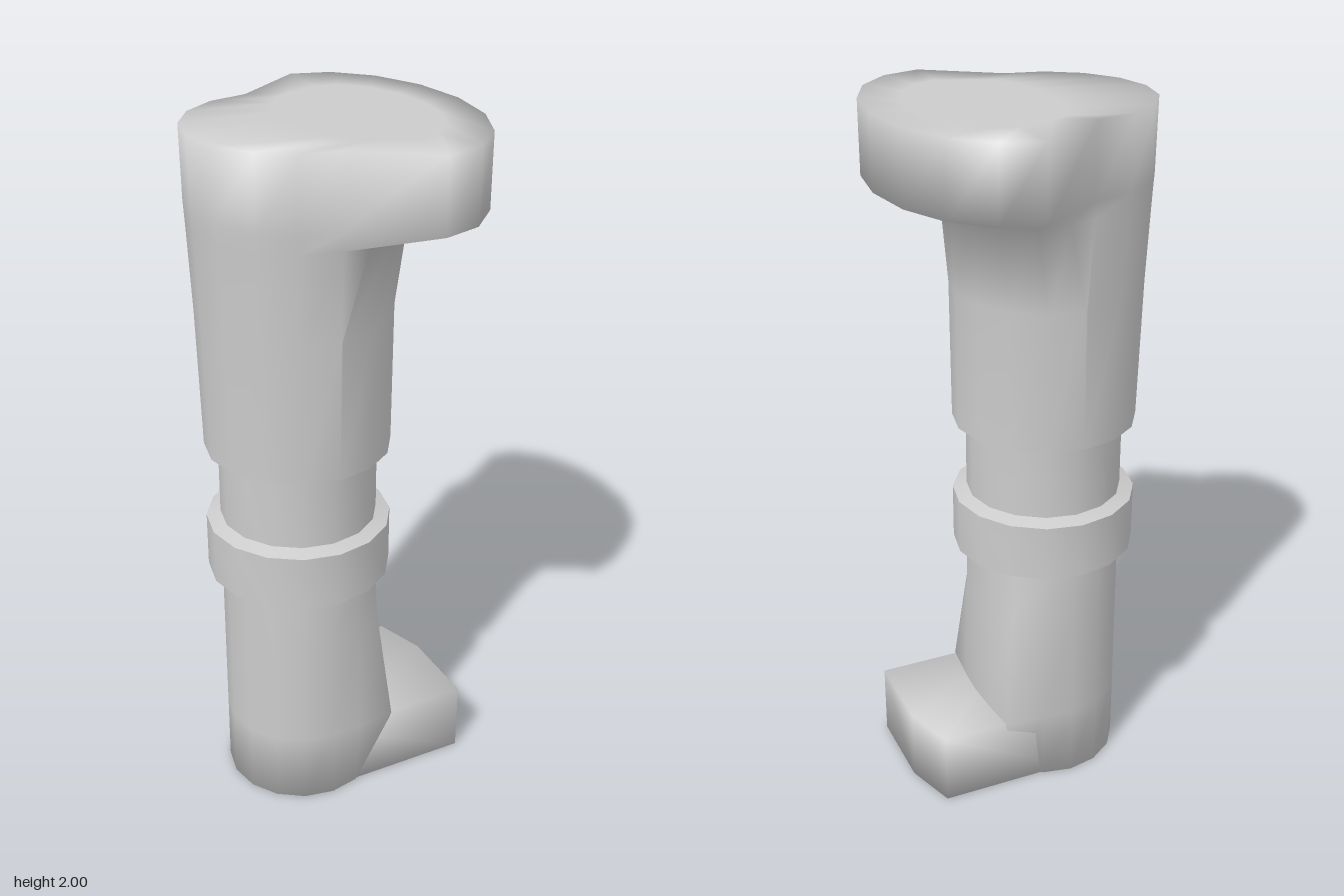
import * as THREE from 'three';
import { mergeVertices, toCreasedNormals } from 'three/addons/utils/BufferGeometryUtils.js';

const AXIS = -0.095; // x of the leg's centre line
const material = new THREE.MeshStandardMaterial({ color: 0xcccccc });

// Weld all corners so the shading rolls over the edges
function soften(geometry) {
  geometry.deleteAttribute('normal');
  geometry.deleteAttribute('uv');
  const welded = mergeVertices(geometry, 1e-4);
  welded.computeVertexNormals();
  return welded;
}

// A ring is a back half and a front half ellipse of nine points each:
// { y, back: [centreX, rx, rz], front: [centreX, rx, rz], square }
function ringPoints({ y, back, front, square = 0 }) {
  const points = [];
  for (const [half, start] of [[front, -Math.PI / 2], [back, Math.PI / 2]]) {
    for (let i = 0; i <= 8; i++) {
      const a = start + (i / 8) * Math.PI;
      let c = Math.cos(a), s = Math.sin(a);
      if (half === front && square) {
        const k = 1 / Math.max(Math.abs(c), Math.abs(s));
        c *= 1 + (k - 1) * square;
        s *= 1 + (k - 1) * square;
      }
      points.push([half[0] + half[1] * c, y, half[2] * s]);
    }
  }
  return points;
}

// Skin a stack of rings from bottom to top, closing chosen ends
function loft(rings, capBottom, capTop) {
  const positions = [], index = [], n = 18;
  rings.forEach(r => ringPoints(r).forEach(p => positions.push(...p)));
  for (let r = 0; r < rings.length - 1; r++) {
    for (let i = 0; i < n; i++) {
      const a = r * n + i, b = r * n + (i + 1) % n;
      index.push(a, a + n, b, b, a + n, b + n);
    }
  }
  const cap = (r, up) => {
    const centre = positions.length / 3, ring = rings[r];
    positions.push((ring.back[0] + ring.front[0]) / 2, ring.y, 0);
    for (let i = 0; i < n; i++) {
      const a = r * n + i, b = r * n + (i + 1) % n;
      if (up) index.push(centre, b, a);
      else index.push(centre, a, b);
    }
  };
  if (capBottom) cap(0, false);
  if (capTop) cap(rings.length - 1, true);
  const geometry = new THREE.BufferGeometry();
  geometry.setAttribute('position', new THREE.Float32BufferAttribute(positions, 3));
  geometry.setIndex(index);
  return soften(geometry);
}

const round = (y, r, square = 0) => ({ y, back: [AXIS, r, r], front: [AXIS, r, r], square });

// Sixteen-sided turned piece with crisp bevels
function turned(profile) {
  const points = profile.map(([r, y]) => new THREE.Vector2(r, y));
  const geometry = new THREE.LatheGeometry(points, 16);
  geometry.translate(AXIS, 0, 0);
  return toCreasedNormals(geometry, 0.6);
}

export function createModel() {
  const group = new THREE.Group();
  const add = (name, geometry) => {
    const mesh = new THREE.Mesh(geometry, material);
    mesh.name = name;
    group.add(mesh);
  };

  // Thigh flaring into the wide hip, with a flat top
  add('thighAndHip', loft([
    round(1.105, 0.26),
    { y: 1.5, back: [-0.095, 0.272, 0.262], front: [-0.09, 0.257, 0.262] },
    { y: 1.75, back: [-0.1, 0.277, 0.28], front: [-0.03, 0.212, 0.285] },
    { y: 1.8, back: [-0.1, 0.28, 0.283], front: [0.1, 0.283, 0.427] },
    { y: 2, back: [-0.1, 0.283, 0.285], front: [0.1, 0.283, 0.427] },
    { y: 2, back: [0, 0.1, 0.24], front: [0.1, 0.18, 0.28] },
  ], false, true));

  // Underside of the thigh, the narrow knee and the raised band
  add('thighHem', turned([[0.22, 1.095], [0.26, 1.105]]));
  add('knee', turned([[0.222, 0.7], [0.222, 1.1]]));
  add('kneeBand', turned([[0.22, 0.7], [0.262, 0.712], [0.262, 0.873], [0.22, 0.887]]));

  // Shin, squared off at the front above the foot
  add('shin', loft([
    round(0, 0.222),
    round(0.215, 0.222, 0.75),
    round(0.55, 0.222, 0.2),
    round(0.705, 0.222),
  ], true, false));

  // Foot with one bevelled outer corner
  const outline = [[-0.1, -0.2], [0.35, -0.2], [0.35, 0.05], [0.3, 0.2], [-0.1, 0.2]];
  const sole = new THREE.Shape(outline.map(([x, z]) => new THREE.Vector2(x, z)));
  const foot = new THREE.ExtrudeGeometry(sole, { depth: 0.215, bevelEnabled: false });
  foot.rotateX(-Math.PI / 2);
  add('foot', soften(foot));

  return group;
}
